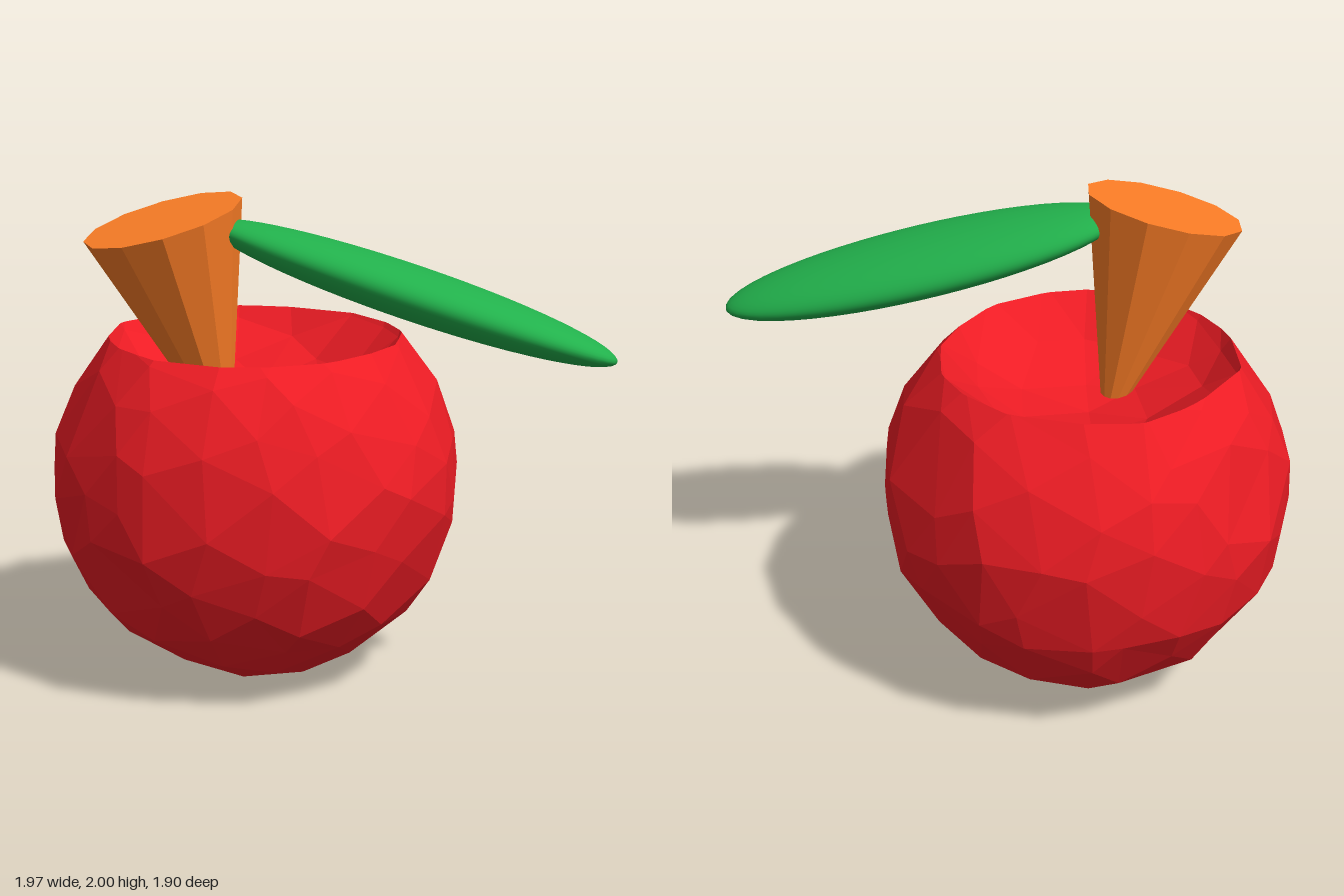
import * as THREE from 'three';

const material = (color, flatShading) => new THREE.MeshStandardMaterial({ color, flatShading });

// Repeatable value in -1..1 for a point
function noise(p, k) {
  const s = Math.sin(Math.round(p.x * 50) * 12.99 + Math.round(p.y * 50) * 78.23 + Math.round(p.z * 50) * 37.72 + k * 11.3) * 43758.55;
  return (s - Math.floor(s)) * 2 - 1;
}

// Keep the part of a polygon on one side of the height y (side is 1 or -1)
function clip(poly, y, side) {
  const out = [];
  poly.forEach((a, i) => {
    const b = poly[(i + 1) % poly.length];
    const da = (a.y - y) * side, db = (b.y - y) * side;
    if (da >= 0) out.push(a);
    if (da * db < 0) out.push(a.clone().lerp(b, da / (da - db)));
  });
  return out;
}

// Uneven faceted ball whose cap is folded down into a bowl
function fruitGeometry() {
  const center = new THREE.Vector3(-0.145, 0.83, -0.125);
  const radius = 0.837, rim = 1.408, bowlDepth = 1.15;
  const pos = new THREE.IcosahedronGeometry(1, 3).attributes.position;
  const corner = (i) => {
    const p = new THREE.Vector3().fromBufferAttribute(pos, i);
    const shift = new THREE.Vector3(noise(p, 1), noise(p, 2), noise(p, 3)).multiplyScalar(0.08);
    const r = radius * (1 + 0.017 * noise(p, 4));
    p.add(shift).normalize().multiplyScalar(r).add(center);
    p.y = Math.max(p.y, 0);
    return p;
  };
  const out = [];
  const addFan = (poly) => {
    for (let i = 1; i < poly.length - 1; i++) {
      for (const p of [poly[0], poly[i], poly[i + 1]]) out.push(p.x, p.y, p.z);
    }
  };
  for (let i = 0; i < pos.count; i += 3) {
    const tri = [corner(i), corner(i + 1), corner(i + 2)];
    addFan(clip(tri, rim, -1));
    // The folded cap keeps its corner order, so it faces up
    addFan(clip(tri, rim, 1).map((p) => new THREE.Vector3(p.x, rim - (p.y - rim) * bowlDepth, p.z)));
  }
  const geometry = new THREE.BufferGeometry();
  geometry.setAttribute('position', new THREE.Float32BufferAttribute(out, 3));
  geometry.computeVertexNormals();
  return geometry;
}

export function createModel() {
  const group = new THREE.Group();
  const add = (name, geometry, mat) => {
    const mesh = new THREE.Mesh(geometry, mat);
    mesh.name = name;
    group.add(mesh);
    return mesh;
  };

  // Fruit body with hollow top
  add('fruit', fruitGeometry(), material(0xed1c24, true));

  // Tapered twelve-sided stem, leaning to the right
  const length = 0.9;
  const stemGeometry = new THREE.CylinderGeometry(0.323, 0.03, length, 12);
  stemGeometry.rotateY(Math.PI / 12);
  stemGeometry.translate(0, -length / 2, 0);
  const stem = add('stem', stemGeometry, material(0xff7f27, true));
  stem.position.set(-0.553, 1.915, -0.025);
  stem.rotation.z = 0.275;

  // Leaf: a flattened smooth ellipsoid
  const leaf = add('leaf', new THREE.SphereGeometry(1, 48, 32), material(0x22b14c, false));
  const along = new THREE.Vector3(0.804, -0.273, 0.527).normalize();
  const up = new THREE.Vector3(-0.5, 0.13, 0.855).cross(along).normalize();
  const across = along.clone().cross(up);
  leaf.quaternion.setFromRotationMatrix(new THREE.Matrix4().makeBasis(along, up, across));
  leaf.scale.set(0.84, 0.105, 0.235);
  leaf.position.set(0.295, 1.67, 0.465);

  return group;
}
